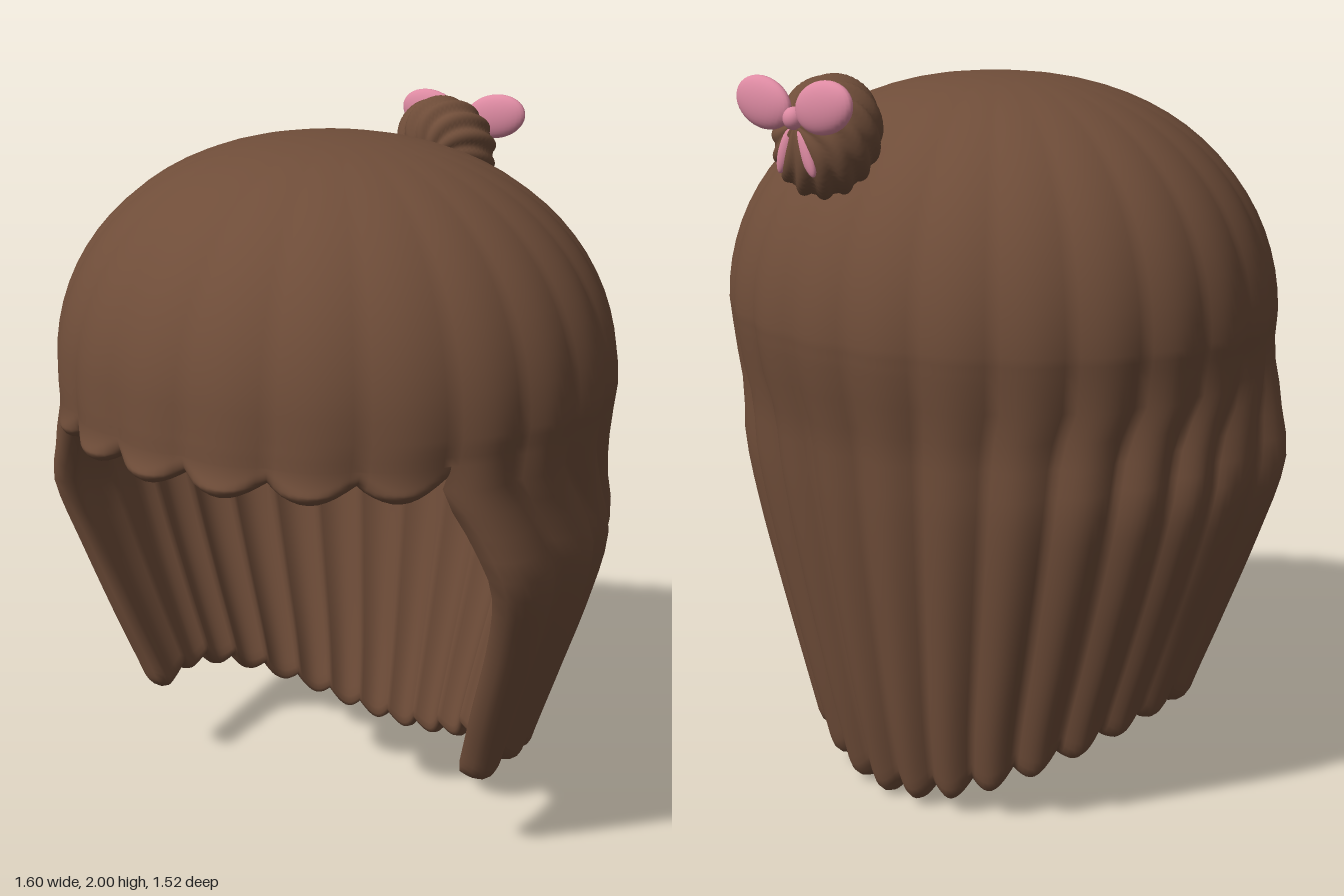
import * as THREE from 'three';
import { mergeVertices } from 'three/addons/utils/BufferGeometryUtils.js';

const brown = new THREE.MeshStandardMaterial({ color: 0x6f4d39 });
brown.name = 'brown hair';
const pink = new THREE.MeshStandardMaterial({ color: 0xdd8aa2 });
pink.name = 'pink ribbon';

// Hair section by height: half width, back depth, front depth, angle of the front edge
const YS = [0, 0.25, 0.5, 0.75, 0.95, 1.1, 1.22, 1.35];
const WIDTH = [0.52, 0.585, 0.665, 0.745, 0.79, 0.768, 0.77, 0.785];
const BACK = [0.475, 0.53, 0.575, 0.615, 0.64, 0.655, 0.685, 0.7];
const FRONT = [0.6, 0.65, 0.8, 0.95, 1.05, 0.9, 0.755, 0.73];
const EDGE = [1.29, 1.258, 1.226, 1.21, 1.18, 1.06, 0.904, 0.904];
const P0 = 0.904, SPLIT = 1.28, WIDEST = 1.35, TOP = 1.97, THICK = 0.08;

const clamp01 = (v) => Math.min(1, Math.max(0, v));
const roundOff = (d) => Math.sqrt(1 - (1 - clamp01(d)) ** 2);

// Smooth interpolation of a table over height
function sample(table, y) {
  y = Math.min(WIDEST, Math.max(0, y));
  let i = 0;
  while (i < YS.length - 2 && y > YS[i + 1]) i++;
  const slope = (k) => {
    const a = Math.max(0, k - 1), b = Math.min(YS.length - 1, k + 1);
    return (table[b] - table[a]) / (YS[b] - YS[a]);
  };
  const h = YS[i + 1] - YS[i], t = (y - YS[i]) / h, t2 = t * t, t3 = t2 * t;
  return table[i] * (2 * t3 - 3 * t2 + 1) + table[i + 1] * (3 * t2 - 2 * t3)
    + h * (slope(i) * (t3 - 2 * t2 + t) + slope(i + 1) * (t3 - t2));
}

const DOME = 18, BAND = 3, TAIL = 24, ROWS = DOME + BAND + TAIL;

// Point on the hair shell: u runs 0..1 around the part, row runs crown to hem
function shellPoint(isFringe, u, row, side) {
  const strand = isFringe ? Math.abs(Math.sin(u * 6 * Math.PI))
    : Math.abs(Math.cos((1 - 2 * u) * 8.5 * Math.PI));
  // height of the scalloped hem
  let hem = 1.19;
  if (!isFringe) {
    const p = 1.26 + u * (2 * Math.PI - 2.52);
    hem = 0.25 - 0.25 * Math.max(0, -Math.cos(p)) ** 1.6;
  }
  hem += 0.045 * (1 - strand);
  // height and dome radius of this row
  let y, f = 1;
  if (row <= DOME) {
    const th = (row / DOME) * Math.PI / 2;
    y = WIDEST + (TOP - WIDEST) * Math.cos(th);
    f = Math.sin(th) ** 0.88;
  } else if (row <= DOME + BAND) {
    y = WIDEST + (SPLIT - WIDEST) * (row - DOME) / BAND;
  } else {
    y = hem + (SPLIT - hem) * (1 - (row - DOME - BAND) / TAIL) ** 1.6;
  }
  // position around the section
  const edge = Math.max(P0, sample(EDGE, y));
  const p = isFringe ? P0 * (2 * u - 1) : edge + u * 2 * (Math.PI - edge);
  const c = Math.cos(p);
  const depth = c < 0 ? sample(BACK, y) : sample(FRONT, isFringe ? Math.max(y, 1.22) : y);
  const ripple = (0.012 + 0.014 * clamp01((1.5 - y) / 0.5)) * f * f * (strand - 0.6);
  const pos = new THREE.Vector3(
    (sample(WIDTH, y) * f + ripple) * Math.sin(p), y, (depth * f + ripple) * c);
  // rounded hem and front edges
  let full = roundOff((y - hem) / 0.04);
  if (!isFringe) {
    const e = roundOff(Math.min(u, 1 - u) * 2.6 / 0.06);
    full *= 1 + (e - 1) * clamp01((1.24 - y) / 0.04);
  }
  const dir = new THREE.Vector3(pos.x, Math.max(0, y - 1.2), pos.z).normalize();
  return pos.addScaledVector(dir, -THICK / 2 * (1 - side * full));
}

function hairShell() {
  const positions = [], index = [];
  for (const [isFringe, cols] of [[true, 60], [false, 170]]) {
    const start = positions.length / 3, loop = 2 * (ROWS + 1);
    for (let c = 0; c <= cols; c++) {
      for (let k = 0; k < loop; k++) {
        const outer = k <= ROWS;
        const v = shellPoint(isFringe, c / cols, outer ? k : loop - 1 - k, outer ? 1 : -1);
        positions.push(v.x, v.y, v.z);
      }
    }
    for (let c = 0; c < cols; c++) {
      for (let k = 0; k < loop - 1; k++) {
        const a = start + c * loop + k, d = a + loop;
        index.push(a, a + 1, d + 1, a, d + 1, d);
      }
    }
  }
  let geo = new THREE.BufferGeometry();
  geo.setAttribute('position', new THREE.Float32BufferAttribute(positions, 3));
  geo.setIndex(index);
  geo = mergeVertices(geo, 1e-4);
  geo.computeVertexNormals();
  return geo;
}

// Flattened ball with swirling grooves
function bunGeometry() {
  let geo = new THREE.SphereGeometry(1, 96, 32);
  geo.deleteAttribute('uv');
  geo.deleteAttribute('normal');
  geo = mergeVertices(geo, 1e-4);
  const pos = geo.attributes.position, v = new THREE.Vector3();
  for (let i = 0; i < pos.count; i++) {
    v.fromBufferAttribute(pos, i);
    const ring = Math.hypot(v.x, v.z);
    const groove = Math.abs(Math.sin(6 * (Math.atan2(v.z, v.x) + v.y * 0.7)));
    const s = 1 + 0.13 * ring * (groove - 0.75);
    pos.setXYZ(i, v.x * s * 0.153, v.y * s * 0.112, v.z * s * 0.153);
  }
  geo.computeVertexNormals();
  return geo;
}

function ellipsoid(name, center, radii, tilt) {
  const mesh = new THREE.Mesh(new THREE.SphereGeometry(1, 28, 18), pink);
  mesh.name = name;
  mesh.position.set(...center);
  mesh.scale.set(...radii);
  mesh.rotation.z = tilt;
  return mesh;
}

export function createModel() {
  const model = new THREE.Group();
  model.name = 'wig';

  const hair = new THREE.Mesh(hairShell(), brown);
  hair.name = 'hair';
  model.add(hair);

  const bun = new THREE.Mesh(bunGeometry(), brown);
  bun.name = 'bun';
  bun.position.set(0, 1.848, -0.628);
  bun.rotation.x = -Math.PI / 2 + 0.35;
  model.add(bun);

  // Bow behind the bun
  const bow = new THREE.Group();
  bow.name = 'bow';
  for (const s of [1, -1]) {
    const side = s > 0 ? 'left' : 'right';
    bow.add(ellipsoid(side + 'Loop', [s * 0.108, 1.932, -0.735], [0.098, 0.064, 0.029], s * 0.18));
    bow.add(ellipsoid(side + 'Tail', [s * 0.038, 1.82, -0.731], [0.02, 0.062, 0.014], s * 0.4));
  }
  bow.add(ellipsoid('knot', [0, 1.9, -0.735], [0.028, 0.028, 0.026], 0));
  model.add(bow);

  return model;
}
